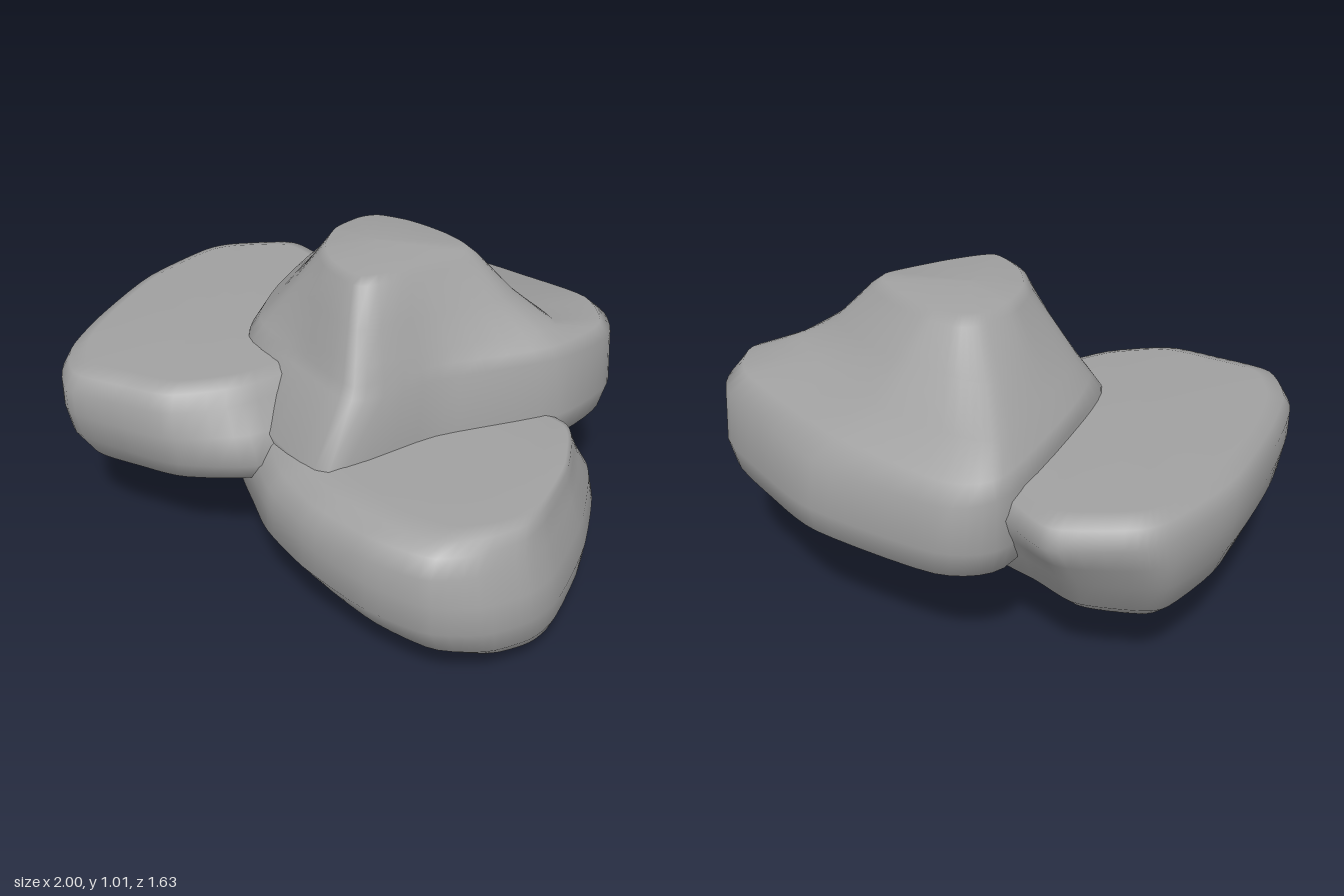
import * as THREE from 'three';

const material = new THREE.MeshStandardMaterial({ color: 0xa0a0a0 });
const SIDES = 60;

// Skin a stack of closed rings of [x, y, z] points, from the bottom up
function rock(name, rings) {
  const pos = [], index = [];
  rings.forEach((ring, r) => {
    const curve = new THREE.CatmullRomCurve3(
      ring.map((p) => new THREE.Vector3(...p)), true, 'catmullrom', 0.35);
    for (let j = 0; j < SIDES; j++) {
      pos.push(...curve.getPoint(j / SIDES).toArray());
      if (r === 0) continue;
      const k = (j + 1) % SIDES, lo = (r - 1) * SIDES, hi = r * SIDES;
      index.push(lo + j, lo + k, hi + k, lo + j, hi + k, hi + j);
    }
  });
  const geo = new THREE.BufferGeometry();
  geo.setAttribute('position', new THREE.Float32BufferAttribute(pos, 3));
  geo.setIndex(index);
  geo.computeVertexNormals();
  const mesh = new THREE.Mesh(geo, material);
  mesh.name = name;
  return mesh;
}

// Slab that changes from a lower to an upper outline ([x, z] points) while it
// follows a profile of { s: scale, y, tilt, t: share of the upper outline }
function slab(name, lower, upper, cx, cz, profile) {
  return rock(name, profile.map(({ s, y, tilt = 0, t = 0 }) => lower.map(([x, z], i) => {
    const px = cx + (THREE.MathUtils.lerp(x, upper[i][0], t) - cx) * s;
    const pz = cz + (THREE.MathUtils.lerp(z, upper[i][1], t) - cz) * s;
    return [px, y + tilt * (px - cx), pz];
  })));
}

export function createModel() {
  const group = new THREE.Group();
  group.name = 'rockCluster';

  // Flat slab on the model's right; its inner end slopes down at the top
  group.add(slab('rightSlab', [
    [0.1, 0.46], [0.12, 0.2], [0.1, -0.2], [-0.3, -0.42], [-0.65, -0.34], [-0.82, -0.3],
    [-0.96, -0.15], [-1, -0.05], [-0.93, 0.22], [-0.76, 0.53], [-0.61, 0.73], [-0.45, 0.81],
    [-0.25, 0.74], [-0.08, 0.66],
  ], [
    [-0.02, 0.43], [0, 0.15], [0, -0.15], [-0.35, -0.38], [-0.72, -0.41], [-0.85, -0.39],
    [-0.98, -0.2], [-1, -0.08], [-0.93, 0.22], [-0.76, 0.53], [-0.61, 0.73], [-0.45, 0.81],
    [-0.27, 0.73], [-0.12, 0.64],
  ], -0.45, 0.15, [
    { s: 0, y: 0.265, tilt: 0.08 }, { s: 0.6, y: 0.265, tilt: 0.08 }, { s: 0.76, y: 0.28, tilt: 0.07 },
    { s: 0.87, y: 0.33, tilt: 0.04 }, { s: 0.97, y: 0.43 }, { s: 1, y: 0.52, t: 0.5 },
    { s: 1, y: 0.6, t: 1 }, { s: 0.95, y: 0.65, t: 1 }, { s: 0.85, y: 0.67, t: 1 },
    { s: 0, y: 0.67, t: 1 },
  ]));

  // Low slab on the model's left, deepest toward its outer end; its top leans in at the back
  group.add(slab('leftSlab', [
    [1, 0.15], [0.98, 0.02], [0.86, -0.22], [0.71, -0.42], [0.62, -0.5], [0.5, -0.51],
    [0.2, -0.5], [-0.22, -0.36], [-0.36, 0.04], [-0.26, 0.31], [0.08, 0.46], [0.2, 0.5],
    [0.4, 0.52], [0.65, 0.5], [0.85, 0.43], [0.96, 0.3],
  ], [
    [0.94, 0.14], [0.91, 0.02], [0.8, -0.2], [0.67, -0.36], [0.59, -0.42], [0.48, -0.42],
    [0.2, -0.4], [-0.1, -0.25], [-0.3, 0.08], [-0.18, 0.3], [0.08, 0.44], [0.2, 0.49],
    [0.4, 0.52], [0.65, 0.49], [0.83, 0.42], [0.91, 0.29],
  ], 0.7, -0.17, [
    { s: 0, y: 0.01 }, { s: 0.3, y: 0.015, tilt: -0.04 }, { s: 0.6, y: 0.065, tilt: -0.12 },
    { s: 0.8, y: 0.115, tilt: -0.12 }, { s: 0.93, y: 0.17, tilt: -0.08 }, { s: 1, y: 0.25, tilt: -0.03 },
    { s: 1, y: 0.34, tilt: -0.03, t: 0.25 }, { s: 1, y: 0.42, t: 0.8 }, { s: 0.95, y: 0.475, t: 1 },
    { s: 0.87, y: 0.507, t: 1 }, { s: 0.75, y: 0.52, t: 1 }, { s: 0, y: 0.52, t: 1 },
  ]));

  // Tall peak at the back: wide base, back ledge, steep front and a small slanted crest
  const base = [[0.35, 0.38], [0.41, 0], [0.55, -0.4], [0.51, -0.68], [0.35, -0.81], [0.08, -0.81],
    [-0.17, -0.78], [-0.57, -0.59], [-0.66, -0.4], [-0.45, 0], [-0.27, 0.27], [0.03, 0.38]];
  const shoulder = [
    [0.3, 0.69, 0.25], [0.37, 0.69, -0.05], [0.51, 0.69, -0.42], [0.505, 0.69, -0.67],
    [0.35, 0.69, -0.8], [0.08, 0.68, -0.79], [-0.17, 0.67, -0.76], [-0.57, 0.66, -0.58],
    [-0.66, 0.68, -0.4], [-0.44, 0.69, 0], [-0.27, 0.68, 0.22], [0, 0.69, 0.24]];
  const rim = [
    [0.29, 0.73, 0.23], [0.35, 0.73, -0.05], [0.49, 0.73, -0.41], [0.485, 0.74, -0.64],
    [0.33, 0.745, -0.74], [0.08, 0.735, -0.72], [-0.17, 0.725, -0.68], [-0.53, 0.71, -0.54],
    [-0.62, 0.72, -0.39], [-0.42, 0.73, -0.01], [-0.25, 0.73, 0.19], [0, 0.73, 0.22]];
  const ledge = [
    [0.27, 0.78, 0.21], [0.33, 0.78, -0.05], [0.44, 0.77, -0.4], [0.43, 0.77, -0.49],
    [0.29, 0.77, -0.53], [0.07, 0.775, -0.54], [-0.17, 0.78, -0.53], [-0.44, 0.78, -0.44],
    [-0.53, 0.78, -0.34], [-0.37, 0.78, -0.04], [-0.22, 0.78, 0.16], [0, 0.78, 0.2]];
  const slope = [
    [0.23, 0.88, 0.17], [0.28, 0.88, -0.05], [0.34, 0.87, -0.33], [0.3, 0.86, -0.42],
    [0.17, 0.86, -0.44], [0.03, 0.87, -0.44], [-0.12, 0.88, -0.42], [-0.3, 0.88, -0.35],
    [-0.37, 0.87, -0.26], [-0.28, 0.88, -0.06], [-0.16, 0.88, 0.11], [0, 0.88, 0.16]];
  const crest = [
    [0.18, 0.99, 0.12], [0.23, 0.99, -0.05], [0.25, 0.98, -0.29], [0.21, 0.98, -0.34],
    [0.1, 0.98, -0.35], [0, 0.98, -0.34], [-0.09, 0.98, -0.32], [-0.19, 0.98, -0.27],
    [-0.22, 0.98, -0.2], [-0.2, 0.98, -0.07], [-0.11, 0.98, 0.05], [0.02, 0.99, 0.12]];
  const low = (s, y) => base.map(([x, z]) => [x * s, y, -0.3 + (z + 0.3) * s]);
  const summit = (s, y) => crest.map(([x, , z]) => [x * s, y, -0.1 + (z + 0.1) * s]);
  group.add(rock('peak', [
    low(0, 0.29), low(0.35, 0.3), low(0.62, 0.35), low(0.85, 0.38), low(0.96, 0.42), low(1, 0.51),
    shoulder, rim, ledge, slope, crest, summit(0.88, 1.01), summit(0, 1.02),
  ]));

  return group;
}
